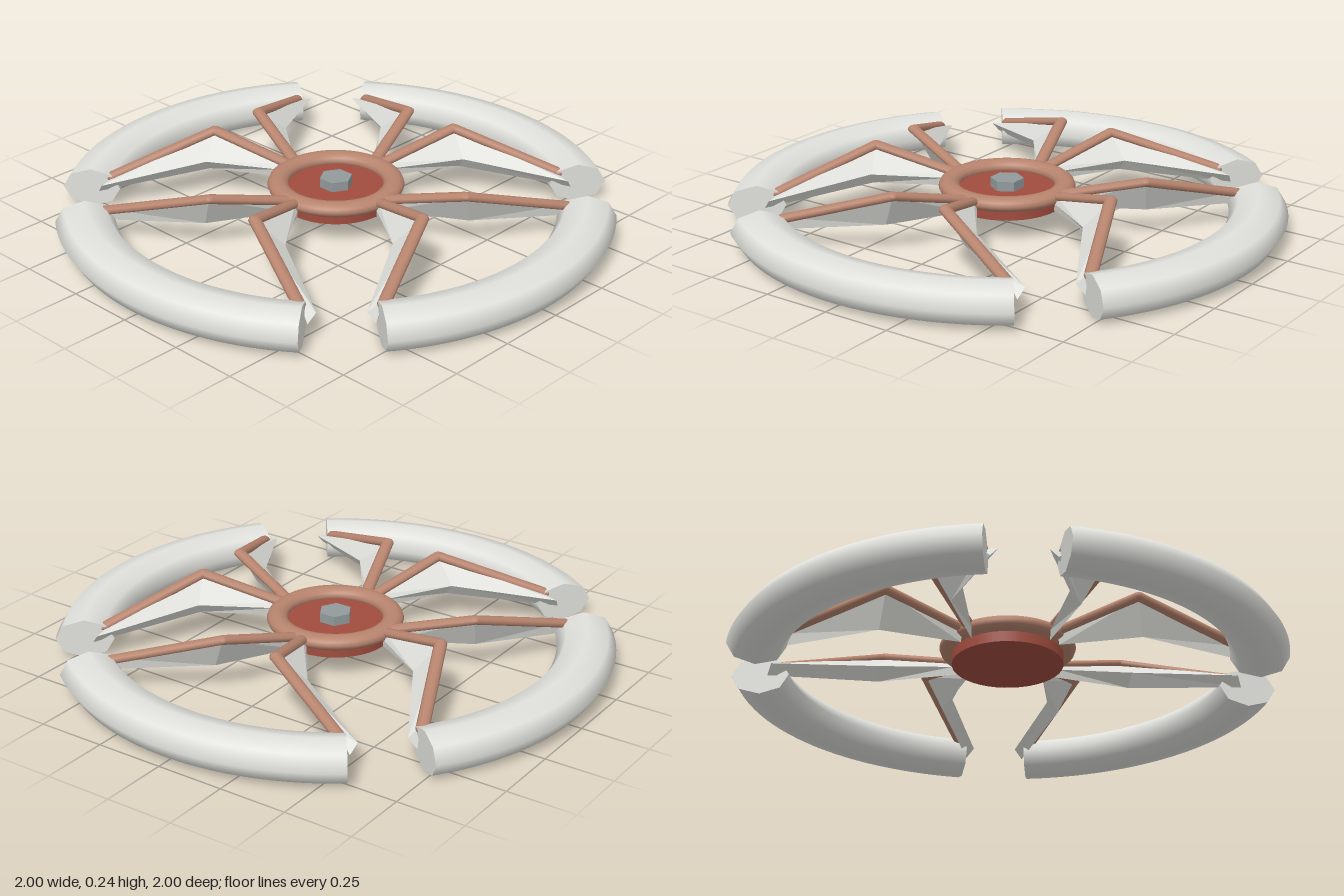
import * as THREE from 'three';
import { mergeGeometries } from 'three/addons/utils/BufferGeometryUtils.js';

const SQUASH = 0.69; // all round sections are flattened vertically

const mat = (name, color, flatShading = false) => {
  const m = new THREE.MeshStandardMaterial({ color, flatShading });
  m.name = name;
  return m;
};

function mesh(name, geometry, material) {
  const m = new THREE.Mesh(geometry, material);
  m.name = name;
  return m;
}

// Capped arc of the outer ring, centred on +x
function ringSegment() {
  const R = 0.895, r = 0.105, half = Math.atan2(3, 4);
  const parts = [new THREE.TorusGeometry(R, r, 8, 32, half * 2).rotateZ(-half)];
  for (const s of [1, -1]) {
    parts.push(new THREE.CircleGeometry(r, 8).rotateX(-s * Math.PI / 2).translate(R, 0, 0).rotateZ(s * half));
  }
  return mergeGeometries(parts).scale(1, 1, SQUASH).rotateX(-Math.PI / 2).translate(0, r * SQUASH, 0);
}

// Bent rod: straight bars with round joints
function bentRod(points, radius) {
  const pts = points.map(([x, y, z]) => new THREE.Vector3(x, y / SQUASH, z));
  const parts = [];
  pts.forEach((p, i) => {
    parts.push(new THREE.SphereGeometry(radius, 10, 8).translate(p.x, p.y, p.z));
    if (i === 0) return;
    const dir = p.clone().sub(pts[i - 1]);
    const mid = p.clone().add(pts[i - 1]).multiplyScalar(0.5);
    const q = new THREE.Quaternion().setFromUnitVectors(new THREE.Vector3(0, 1, 0), dir.clone().normalize());
    parts.push(new THREE.CylinderGeometry(radius, radius, dir.length(), 10, 1, true)
      .applyQuaternion(q).translate(mid.x, mid.y, mid.z));
  });
  return mergeGeometries(parts).scale(1, SQUASH, 1);
}

// Closed blade lofted through triangular sections; side = -1 mirrors it in z
function blade(sections, side) {
  const pos = [];
  const tri = (a, b, c) => {
    for (const p of side > 0 ? [a, b, c] : [a, c, b]) pos.push(p[0], p[1], p[2] * side);
  };
  for (let i = 0; i < sections.length - 1; i++) {
    const A = sections[i], B = sections[i + 1];
    for (let j = 0; j < 3; j++) {
      const k = (j + 1) % 3;
      tri(A[j], A[k], B[k]);
      tri(A[j], B[k], B[j]);
    }
  }
  const first = sections[0], last = sections[sections.length - 1];
  tri(first[0], first[2], first[1]);
  tri(last[0], last[1], last[2]);
  const g = new THREE.BufferGeometry();
  g.setAttribute('position', new THREE.Float32BufferAttribute(pos, 3));
  g.computeVertexNormals();
  return g;
}

export function createModel() {
  const shell = mat('pale grey', 0xe0e0dc);
  const bladeMat = mat('blade grey', 0xdcdcd8, true);
  bladeMat.side = THREE.DoubleSide;
  const copper = mat('copper', 0xb7846e);
  const red = mat('dull red', 0xa04c3e);
  const steel = mat('steel grey', 0x929a9b, true);

  const model = new THREE.Group();
  model.name = 'slottedWheel';

  // Hub
  const hub = new THREE.Group();
  hub.name = 'hub';
  hub.add(
    mesh('hubRim', new THREE.TorusGeometry(0.207, 0.038, 12, 48).scale(1, 1, SQUASH)
      .rotateX(-Math.PI / 2).translate(0, 0.144, 0), copper),
    mesh('hubDisc', new THREE.CylinderGeometry(0.2, 0.2, 0.055, 40).translate(0, 0.1075, 0), red),
    mesh('hubBolt', new THREE.CylinderGeometry(0.06, 0.06, 0.06, 6).rotateY(Math.PI / 6).translate(0, 0.14, 0), steel),
  );
  model.add(hub);

  // Arm paths for the quarter facing +x
  const rodPath = [[0.22, 0.148, 0.015], [0.51, 0.225, 0.112], [0.672, 0.112, 0.48]];
  const bladeSections = [ // each: top edge, outer edge, lower edge
    [[0.22, 0.15, 0.015], [0.235, 0.13, 0.04], [0.22, 0.1, 0.025]],
    [[0.51, 0.222, 0.112], [0.46, 0.145, 0.205], [0.48, 0.1, 0.17]],
    [[0.66, 0.115, 0.47], [0.655, 0.1, 0.54], [0.685, 0.065, 0.53]],
  ];
  const segment = ringSegment();
  const arms = [1, -1].map((s) => ({
    rod: bentRod(rodPath.map(([x, y, z]) => [x, y, z * s]), 0.0225),
    blade: blade(bladeSections, s),
  }));

  // Four quarters, each an arc on two bent arms
  for (let i = 0; i < 4; i++) {
    const quarter = new THREE.Group();
    quarter.name = 'quarter' + (i + 1);
    quarter.add(mesh('ringSegment', segment, shell));
    for (const arm of arms) {
      quarter.add(mesh('armRod', arm.rod, copper), mesh('armBlade', arm.blade, bladeMat));
    }
    quarter.rotation.y = i * Math.PI / 2;
    model.add(quarter);
  }
  return model;
}
